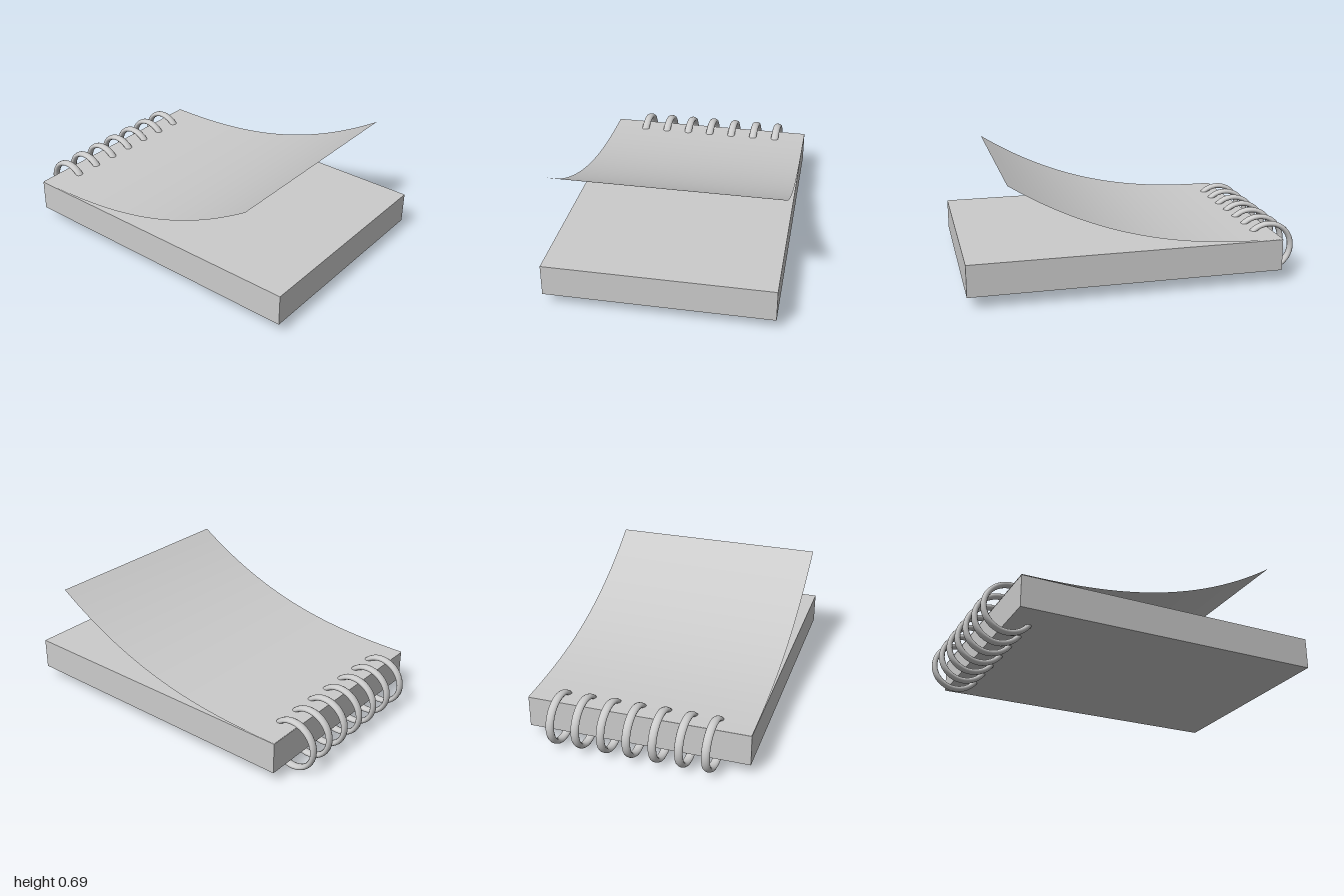
import * as THREE from 'three';

const LEFT = -0.855, RIGHT = 1, BOTTOM = 0.073, TOP = 0.262, DEPTH = 1.325;

export function createModel() {
  const model = new THREE.Group();
  model.name = 'spiralNotebook';
  const grey = new THREE.MeshStandardMaterial({ color: 0xcccccc });
  const sheet = new THREE.MeshStandardMaterial({ color: 0xcccccc, side: THREE.DoubleSide });

  // Solid block of pages
  const block = new THREE.Mesh(new THREE.BoxGeometry(RIGHT - LEFT, TOP - BOTTOM, DEPTH), grey);
  block.name = 'pageBlock';
  block.position.set((LEFT + RIGHT) / 2, (TOP + BOTTOM) / 2, 0);
  model.add(block);

  // Top page, curling upwards away from the binding
  const curl = new THREE.PlaneGeometry(1, DEPTH, 28, 1);
  curl.rotateX(-Math.PI / 2);
  const p = curl.attributes.position;
  for (let i = 0; i < p.count; i++) {
    const t = p.getX(i) + 0.5;
    p.setX(i, LEFT + t * 1.613);
    p.setY(i, 0.266 + 0.427 * Math.pow(t, 2.5));
  }
  curl.computeVertexNormals();
  const page = new THREE.Mesh(curl, sheet);
  page.name = 'curledPage';
  model.add(page);

  // Binding rings: flattened wire, each slightly skewed along the spine
  const ring = new THREE.TorusGeometry(0.143, 0.016, 12, 48);
  const skew = new THREE.Matrix4().set(
    1, 0, 0, 0,
    0, 1, 0, 0,
    0.05, 0, 1.55, 0,
    0, 0, 0, 1);
  ring.applyMatrix4(skew);
  const binding = new THREE.Group();
  binding.name = 'binding';
  for (let i = 0; i < 7; i++) {
    const mesh = new THREE.Mesh(ring, grey);
    mesh.name = 'bindingRing';
    mesh.position.set(-0.842, 0.16, -0.468 + i * 0.1525);
    binding.add(mesh);
  }
  model.add(binding);
  return model;
}
